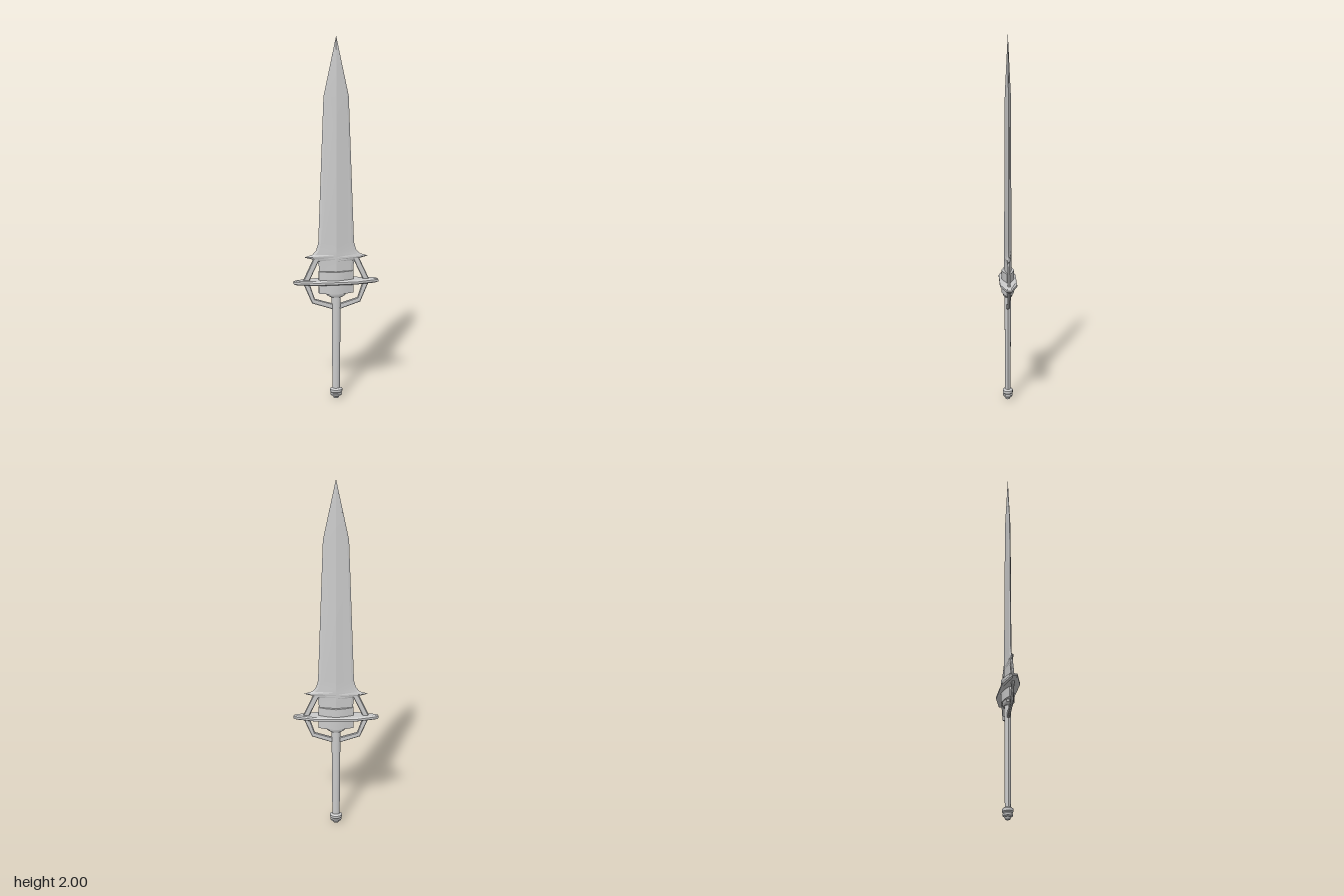
import * as THREE from 'three';
import { toCreasedNormals } from 'three/addons/utils/BufferGeometryUtils.js';

const material = new THREE.MeshStandardMaterial({ color: 0xcccccc, side: THREE.DoubleSide });

function part(name, geometry, crease = 0.5) {
  const mesh = new THREE.Mesh(toCreasedNormals(geometry, crease), material);
  mesh.name = name;
  return mesh;
}

// Skins a stack of sections [halfWidth, y, halfDepth] sharing one outline in unit x/z.
function loft(outline, sections) {
  const n = outline.length, positions = [], index = [];
  for (const [w, y, d] of sections) {
    for (const [x, z] of outline) positions.push(x * w, y, z * d);
  }
  for (let s = 0; s < sections.length - 1; s++) {
    for (let i = 0; i < n; i++) {
      const a = s * n + i, b = s * n + (i + 1) % n;
      index.push(a, a + n, b, b, a + n, b + n);
    }
  }
  // End caps
  const top = (sections.length - 1) * n;
  for (let i = 1; i < n - 1; i++) index.push(0, i, i + 1, top, top + i + 1, top + i);
  const geometry = new THREE.BufferGeometry();
  geometry.setAttribute('position', new THREE.Float32BufferAttribute(positions, 3));
  geometry.setIndex(index);
  return geometry;
}

function ellipse(sides) {
  return Array.from({ length: sides }, (_, i) => {
    const a = (i / sides) * Math.PI * 2;
    return [Math.cos(a), Math.sin(a)];
  });
}

export function createModel() {
  const sword = new THREE.Group();
  sword.name = 'sword';

  // Blade: central ridge, bevelled edges, flared barbs above the collar
  const bladeOutline = [[1, 0], [0.86, 0.3], [0, 1], [-0.86, 0.3], [-1, 0], [-0.86, -0.3], [0, -1], [0.86, -0.3]];
  sword.add(part('blade', loft(bladeOutline, [
    [0.095, 0.64, 0.02], [0.095, 0.77, 0.02], [0.102, 0.8, 0.02], [0.13, 0.811, 0.02],
    [0.175, 0.823, 0.02], [0.13, 0.837, 0.02], [0.11, 0.86, 0.02], [0.098, 0.9, 0.02],
    [0.067, 1.69, 0.016], [0.0005, 2, 0.0005],
  ]), 0.2));

  // Collar: flattened diamond sleeve around the blade root
  const collarOutline = [[1, 0.2], [0.55, 0.66], [0, 1], [-0.55, 0.66], [-1, 0.2],
    [-1, -0.2], [-0.55, -0.66], [0, -1], [0.55, -0.66], [1, -0.2]];
  sword.add(part('collar', loft(collarOutline, [[0.096, 0.617, 0.035], [0.096, 0.742, 0.035]])));
  sword.add(part('collarBase', loft(ellipse(12), [
    [0.034, 0.595, 0.022], [0.052, 0.605, 0.027], [0.056, 0.619, 0.029],
  ])));

  // Crossguard: long octagonal plate with softened rims
  const guardOutline = [[1, 0.27], [0.47, 1], [-0.47, 1], [-1, 0.27], [-1, -0.27], [-0.47, -1], [0.47, -1], [1, -0.27]];
  sword.add(part('crossguard', loft(guardOutline, [
    [0.215, 0.67, 0.037], [0.232, 0.676, 0.046], [0.235, 0.682, 0.047],
    [0.232, 0.688, 0.046], [0.215, 0.694, 0.037],
  ])));

  // Side bars: angular open loop from the barbs down to the grip
  const right = [[0.125, 0.815], [0.185, 0.685], [0.134, 0.562], [0, 0.517]];
  const inner = [[0, 0.55], [0.118, 0.586], [0.15, 0.685], [0.09, 0.815]];
  const barShape = new THREE.Shape([...right, ...inner].map(([x, y]) => new THREE.Vector2(x, y)));
  for (const side of [1, -1]) {
    const bar = new THREE.ExtrudeGeometry(barShape, {
      depth: 0.006, bevelEnabled: true, bevelThickness: 0.004, bevelSize: 0.004, bevelOffset: -0.004, bevelSegments: 1,
    });
    bar.translate(0, 0, -0.003);
    if (side < 0) bar.rotateY(Math.PI);
    sword.add(part(side > 0 ? 'leftBar' : 'rightBar', bar));
  }

  // Grip and pommel: oval sections
  sword.add(part('grip', loft(ellipse(12), [[0.021, 0.04, 0.015], [0.025, 0.61, 0.018]]), 0.7));
  sword.add(part('pommel', loft(ellipse(16), [
    [0.015, 0, 0.012], [0.02, 0.012, 0.017], [0.031, 0.017, 0.025], [0.033, 0.027, 0.027],
    [0.028, 0.032, 0.023], [0.035, 0.039, 0.028], [0.035, 0.053, 0.028], [0.022, 0.06, 0.018],
  ]), 0.6));

  return sword;
}
